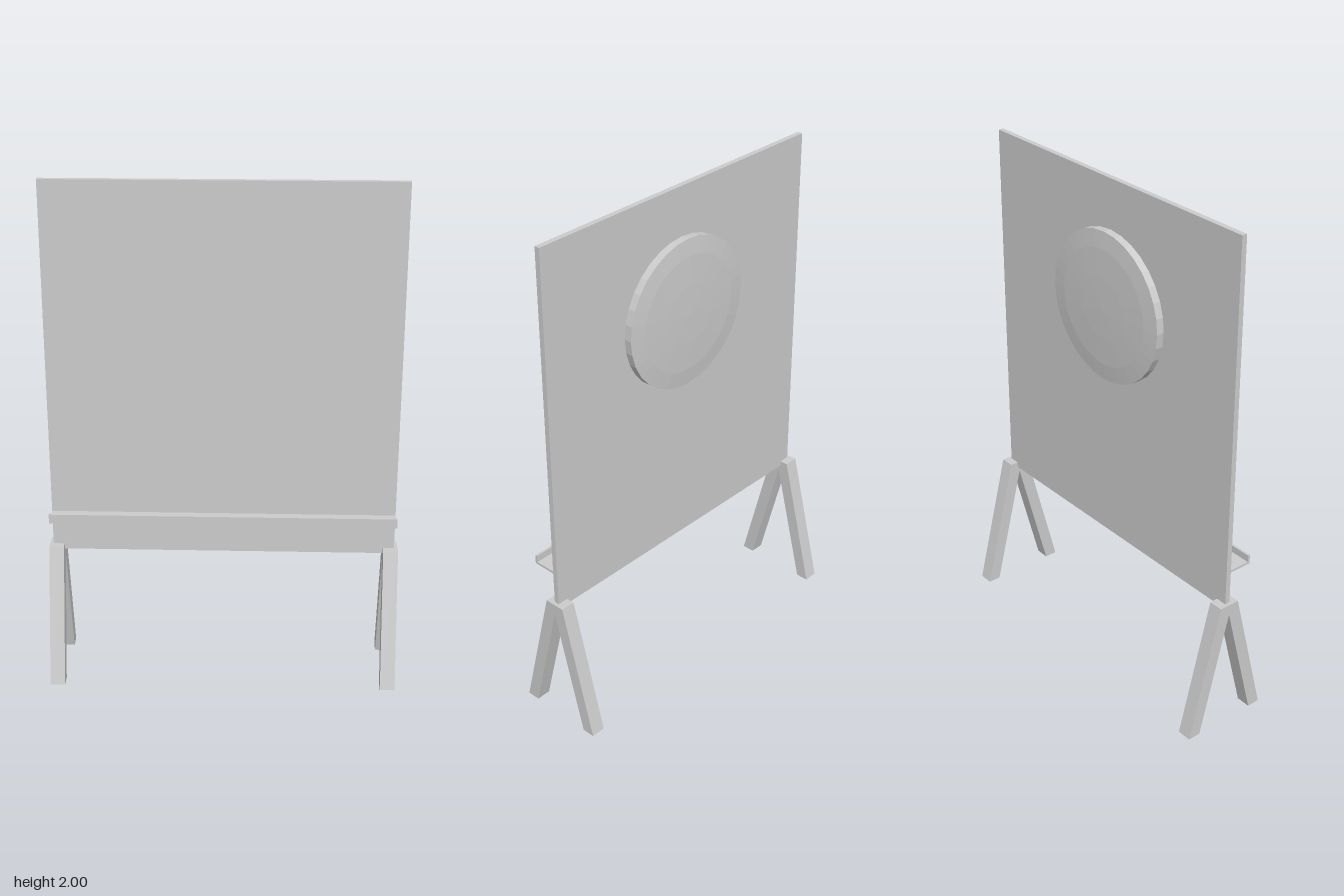
import * as THREE from 'three';

const material = new THREE.MeshStandardMaterial({ color: 0xcccccc, flatShading: true });

function addMesh(parent, name, geometry, x = 0, y = 0, z = 0) {
  const mesh = new THREE.Mesh(geometry, material);
  mesh.name = name;
  mesh.position.set(x, y, z);
  parent.add(mesh);
  return mesh;
}

// A-frame outline in (z, y), extruded across the leg width
function legGeometry(width) {
  const outline = [[-0.18, 0], [-0.128, 0], [0, 0.5], [0.128, 0], [0.18, 0], [0.042, 0.545], [-0.042, 0.545]];
  const shape = new THREE.Shape(outline.map(([z, y]) => new THREE.Vector2(z, y)));
  const geometry = new THREE.ExtrudeGeometry(shape, { depth: width, bevelEnabled: false });
  geometry.translate(0, 0, -width / 2);
  return geometry.rotateY(Math.PI / 2);
}

export function createModel() {
  const model = new THREE.Group();
  model.name = 'standingBoard';
  const width = 1.34;

  // Thin upright panel
  addMesh(model, 'board', new THREE.BoxGeometry(width, 1.477, 0.021), 0, 1.2615, 0.002);

  // Tray with an upright front lip
  const tray = new THREE.Group();
  tray.name = 'tray';
  model.add(tray);
  addMesh(tray, 'trayShelf', new THREE.BoxGeometry(width, 0.009, 0.087), 0, 0.6825, 0.0555);
  addMesh(tray, 'trayLip', new THREE.BoxGeometry(width, 0.037, 0.009), 0, 0.6965, 0.1015);

  // Shallow domed disc on the back
  const profile = [[0.296, 0], [0.296, 0.031], [0.23, 0.038], [0.12, 0.042], [0, 0.044]];
  const disc = new THREE.LatheGeometry(profile.map(([r, h]) => new THREE.Vector2(r, h)), 32);
  disc.rotateX(-Math.PI / 2);
  addMesh(model, 'backDisc', disc, -0.003, 1.512, -0.008);

  // Splayed legs at both ends
  for (const side of [-1, 1]) {
    addMesh(model, side > 0 ? 'leftLegs' : 'rightLegs', legGeometry(0.058), side * 0.655, 0, 0);
  }
  return model;
}
